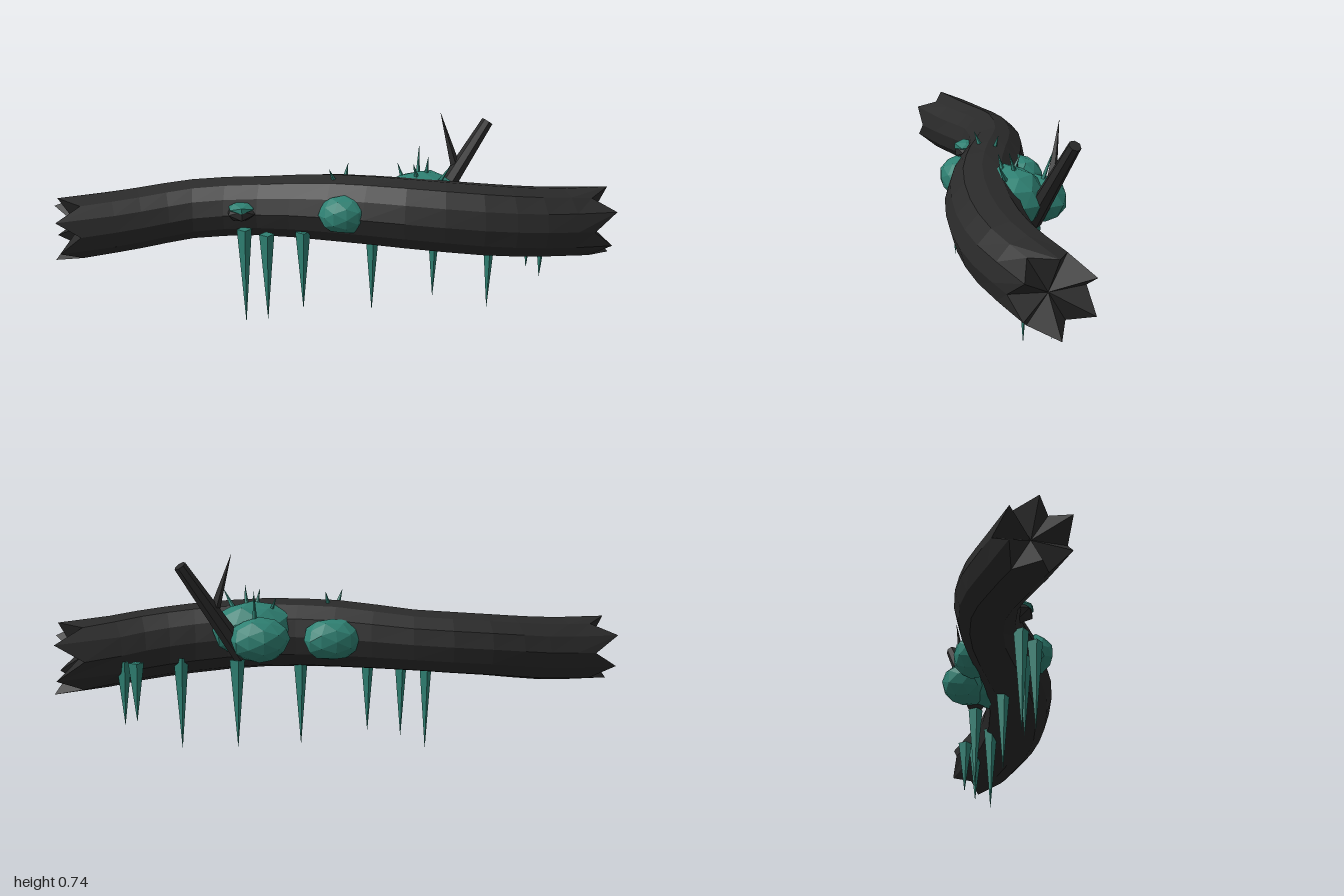
import * as THREE from 'three';

const bark = new THREE.MeshStandardMaterial({ name: 'darkBark', color: 0x2a2a2a, flatShading: true });
const moss = new THREE.MeshStandardMaterial({ name: 'tealMoss', color: 0x2f8173, flatShading: true });

function add(group, name, geometry, material) {
  const mesh = new THREE.Mesh(geometry, material);
  mesh.name = name;
  group.add(mesh);
  return mesh;
}

// Tapered round piece between two points
function rod(group, name, from, to, r0, r1, sides, material) {
  const a = new THREE.Vector3(...from), b = new THREE.Vector3(...to);
  const dir = b.clone().sub(a);
  const mesh = add(group, name, new THREE.CylinderGeometry(r1, r0, dir.length(), sides), material);
  mesh.position.copy(a).add(b).multiplyScalar(0.5);
  mesh.quaternion.setFromUnitVectors(new THREE.Vector3(0, 1, 0), dir.normalize());
  return mesh;
}

// Faceted, slightly lumpy ellipsoid
function clump(group, name, [x, y, z], [rx, ry, rz], material, detail = 1) {
  const geo = new THREE.IcosahedronGeometry(1, detail);
  const p = geo.attributes.position, v = new THREE.Vector3();
  for (let i = 0; i < p.count; i++) {
    v.fromBufferAttribute(p, i);
    v.multiplyScalar(1 + 0.05 * Math.sin(v.x * 5 + x * 20) * Math.cos(v.z * 4 + v.y * 3));
    p.setXYZ(i, v.x * rx, v.y * ry, v.z * rz);
  }
  geo.computeVertexNormals();
  add(group, name, geo, material).position.set(x, y, z);
}

// Log: twelve-sided rings swept along an S-shaped path, with toothed broken ends
function logGeometry() {
  const path = new THREE.CatmullRomCurve3([
    [-0.9, 0.362, -0.115], [-0.7, 0.375, -0.15], [-0.5, 0.397, -0.165], [-0.25, 0.415, -0.115],
    [0, 0.433, -0.01], [0.25, 0.433, 0.09], [0.5, 0.415, 0.14], [0.7, 0.395, 0.138], [0.9, 0.37, 0.09],
  ].map(p => new THREE.Vector3(...p)));
  const radii = [0.115, 0.113, 0.11, 0.11, 0.122, 0.126, 0.128, 0.127, 0.126];
  const teeth = [0.085, 0.08, 0.1, 0.095, 0.1, 0.075];
  const sides = 12, rings = 17, pos = [], index = [];
  for (let i = 0; i < rings; i++) {
    const t = i / (rings - 1), c = path.getPoint(t), tan = path.getTangent(t);
    const side = new THREE.Vector3(-tan.z, 0, tan.x).normalize();
    const k = t * 8, k0 = Math.min(7, Math.floor(k));
    const r = THREE.MathUtils.lerp(radii[k0], radii[k0 + 1], k - k0);
    const end = i === 0 ? -1 : i === rings - 1 ? 1 : 0;
    for (let j = 0; j < sides; j++) {
      const a = j / sides * Math.PI * 2;
      const rr = r * (1 + 0.02 * Math.sin(j * 2.4 + i * 0.3));
      const jag = end * (j % 2 ? teeth[(j >> 1) % 6] : 0.0);
      const s = end ? 0 : side.x;
      pos.push(c.x + s * rr * Math.cos(a) + jag, c.y + rr * Math.sin(a),
        c.z + (end ? 1 : side.z) * rr * Math.cos(a) - Math.abs(jag) * 0.15 * end);
    }
  }
  for (let j = 0; j < sides; j++) {
    const n = (j + 1) % sides;
    for (let i = 0; i < rings - 1; i++) {
      const a = i * sides, b = a + sides;
      index.push(a + j, b + j, b + n, a + j, b + n, a + n);
    }
    const last = (rings - 1) * sides, c0 = rings * sides;
    index.push(c0, j, n, c0 + 1, last + n, last + j);
  }
  pos.push(-0.91, 0.362, -0.115, 0.91, 0.365, 0.088);
  const geo = new THREE.BufferGeometry();
  geo.setAttribute('position', new THREE.Float32BufferAttribute(pos, 3));
  geo.setIndex(index);
  geo.computeVertexNormals();
  return geo;
}

export function createModel() {
  const model = new THREE.Group();
  model.name = 'mossyLog';
  add(model, 'log', logGeometry(), bark);

  // Broken branch with a sharp twig
  rod(model, 'branch', [0.355, 0.375, -0.05], [0.578, 0.7, -0.115], 0.036, 0.022, 7, bark);
  rod(model, 'twig', [0.46, 0.53, -0.08], [0.405, 0.735, -0.125], 0.019, 0.0005, 4, bark);

  // Short stub with a mossy top
  clump(model, 'stub', [-0.335, 0.42, -0.03], [0.056, 0.033, 0.055], bark, 0);
  clump(model, 'stubMoss', [-0.335, 0.44, -0.022], [0.05, 0.02, 0.05], moss, 0);

  // Moss clumps
  clump(model, 'topMoss', [0.31, 0.458, 0.005], [0.15, 0.1, 0.108], moss);
  clump(model, 'rearMossLarge', [0.305, 0.435, -0.1], [0.105, 0.08, 0.092], moss);
  clump(model, 'rearMossSmall', [0.05, 0.43, -0.115], [0.102, 0.075, 0.077], moss);
  clump(model, 'frontMoss', [0.018, 0.442, 0.1], [0.087, 0.07, 0.072], moss);

  // Hanging spikes: x, z, tip height
  for (const [x, z, tip] of [
    [-0.325, -0.02, 0], [-0.25, 0.045, 0.035], [-0.12, 0.035, 0.065], [0.135, 0.01, 0.035],
    [0.375, -0.05, 0.05], [0.56, 0.045, 0.035], [0.725, -0.03, 0.155], [0.762, 0.02, 0.135],
  ]) rod(model, 'hangingSpike', [x, 0.36, z], [x, tip, z], 0.027, 0.0005, 4, moss);

  // Small upright blades growing from the moss and bark
  for (const [from, to] of [
    [[0.33, 0.54, 0.0], [0.332, 0.615, 0.022]],
    [[0.29, 0.54, 0.03], [0.275, 0.597, 0.042]],
    [[0.37, 0.53, 0.045], [0.4, 0.597, 0.08]],
    [[0.25, 0.52, -0.02], [0.235, 0.575, -0.05]],
    [[0.32, 0.5, -0.1], [0.33, 0.61, -0.135]],
    [[-0.005, 0.54, 0.02], [-0.025, 0.587, 0.035]],
    [[0.04, 0.54, -0.02], [0.052, 0.588, -0.03]],
  ]) rod(model, 'blade', from, to, 0.009, 0.0005, 4, moss);

  return model;
}
